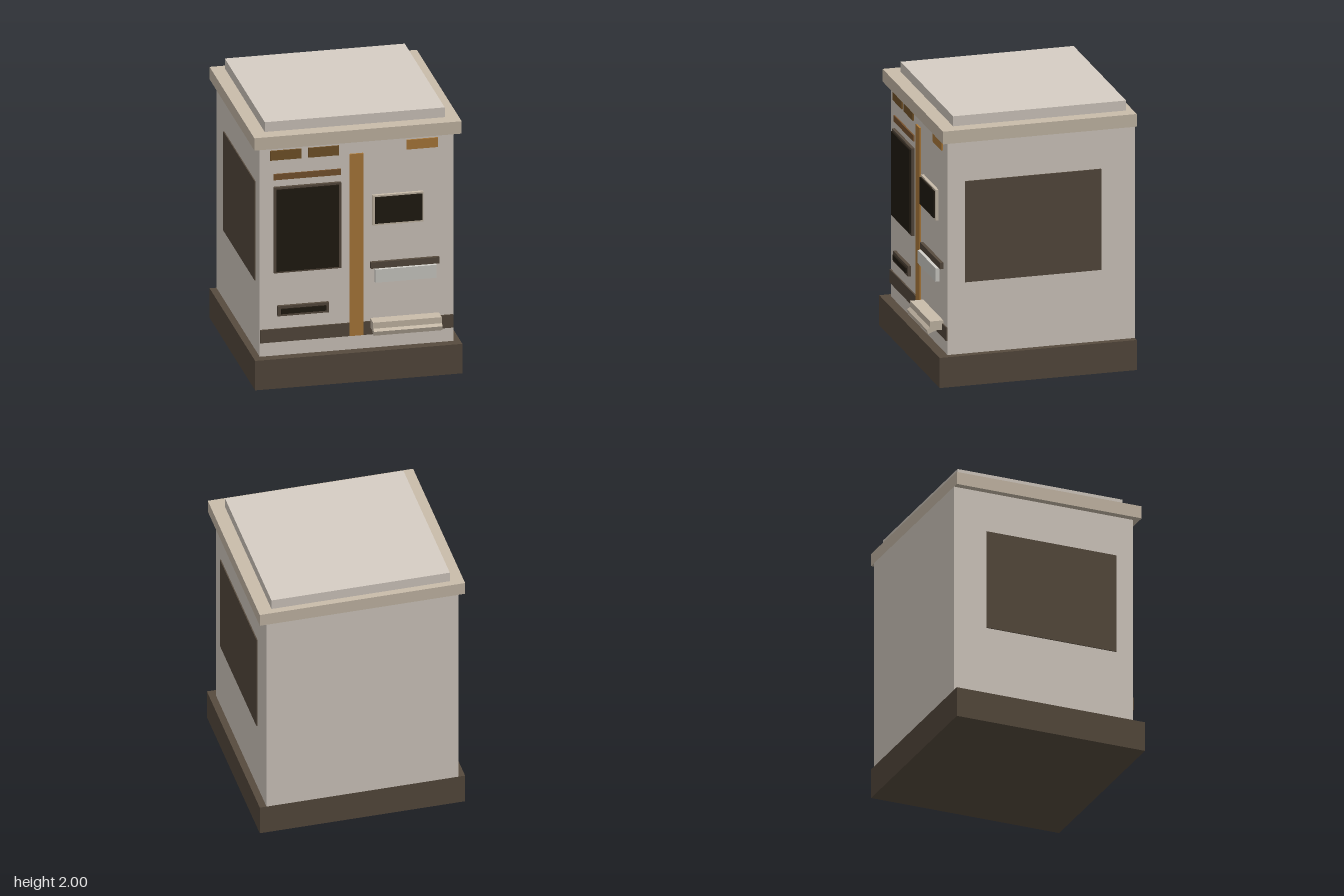
import * as THREE from 'three';

const colors = {
  wall: 0xd7cec4, trim: 0xcabdab, dark: 0x574b3e, glass: 0x211b12,
  orange: 0xb07d3c, brown: 0x76552a, rust: 0x7a5530, pale: 0xd3d1cb,
};
const materials = {};
for (const key in colors) {
  materials[key] = new THREE.MeshStandardMaterial({ color: colors[key], flatShading: true });
}

export function createModel() {
  const group = new THREE.Group();
  const face = 0.637; // front face of the cabinet

  // Box given by its limits on each axis
  function box(name, mat, [x0, x1], [y0, y1], [z0, z1]) {
    const mesh = new THREE.Mesh(new THREE.BoxGeometry(x1 - x0, y1 - y0, z1 - z0), materials[mat]);
    mesh.position.set((x0 + x1) / 2, (y0 + y1) / 2, (z0 + z1) / 2);
    mesh.name = name;
    group.add(mesh);
  }
  // Flat fitting standing out from the front face
  const fitting = (name, mat, x, y, front = 0.648) => box(name, mat, x, y, [face - 0.01, front]);

  // Cabinet shell
  box('base', 'dark', [-0.76, 0.76], [0, 0.226], [-0.76, 0.71]);
  box('body', 'wall', [-0.71, 0.71], [0.226, 1.83], [-0.76, face]);
  box('roofSlab', 'trim', [-0.76, 0.76], [1.83, 1.925], [-0.76, 0.685]);
  box('roofCap', 'wall', [-0.66, 0.66], [1.925, 2], [-0.71, 0.58]);

  // Side panels
  for (const s of [-1, 1]) {
    const x = s > 0 ? [0.70, 0.718] : [-0.718, -0.70];
    box(s > 0 ? 'leftPanel' : 'rightPanel', 'dark', x, [0.763, 1.522], [-0.508, 0.508]);
  }

  // Front bands and signs
  fitting('lowerBand', 'dark', [-0.708, 0.708], [0.332, 0.432]);
  fitting('centrePost', 'orange', [-0.053, 0.048], [0.332, 1.727], 0.649);
  fitting('signOuter', 'brown', [-0.635, -0.407], [1.727, 1.80]);
  fitting('signInner', 'brown', [-0.355, -0.13], [1.727, 1.80]);
  fitting('signLeft', 'orange', [0.365, 0.595], [1.727, 1.80]);
  fitting('signStrip', 'rust', [-0.61, -0.117], [1.575, 1.62]);

  // Large screen, small screen and slot, each a frame with a dark insert
  fitting('screenFrame', 'dark', [-0.61, -0.117], [0.865, 1.522], 0.66);
  fitting('screen', 'glass', [-0.593, -0.135], [0.88, 1.507], 0.672);
  fitting('displayFrame', 'trim', [0.113, 0.487], [1.17, 1.40], 0.66);
  fitting('display', 'glass', [0.13, 0.475], [1.186, 1.387], 0.672);
  fitting('slotFrame', 'dark', [-0.583, -0.207], [0.533, 0.61], 0.66);
  fitting('slot', 'glass', [-0.56, -0.23], [0.552, 0.59], 0.672);

  // Ledge with a pale plate below it
  fitting('ledge', 'dark', [0.10, 0.604], [0.84, 0.888], 0.662);
  box('ledgePlate', 'pale', [0.127, 0.577], [0.74, 0.84], [0.658, 0.686]);

  // Tray with a drooping lip; profile drawn in (z, y), extruded along x
  const profile = [[0.627, 0.384], [0.69, 0.384], [0.75, 0.36], [0.76, 0.393],
    [0.735, 0.408], [0.735, 0.454], [0.627, 0.454]];
  const shape = new THREE.Shape(profile.map(([z, y]) => new THREE.Vector2(-z, y)));
  const trayGeometry = new THREE.ExtrudeGeometry(shape, { depth: 0.504, bevelEnabled: false });
  trayGeometry.rotateY(Math.PI / 2);
  const tray = new THREE.Mesh(trayGeometry, materials.trim);
  tray.position.x = 0.10;
  tray.name = 'tray';
  group.add(tray);

  return group;
}
